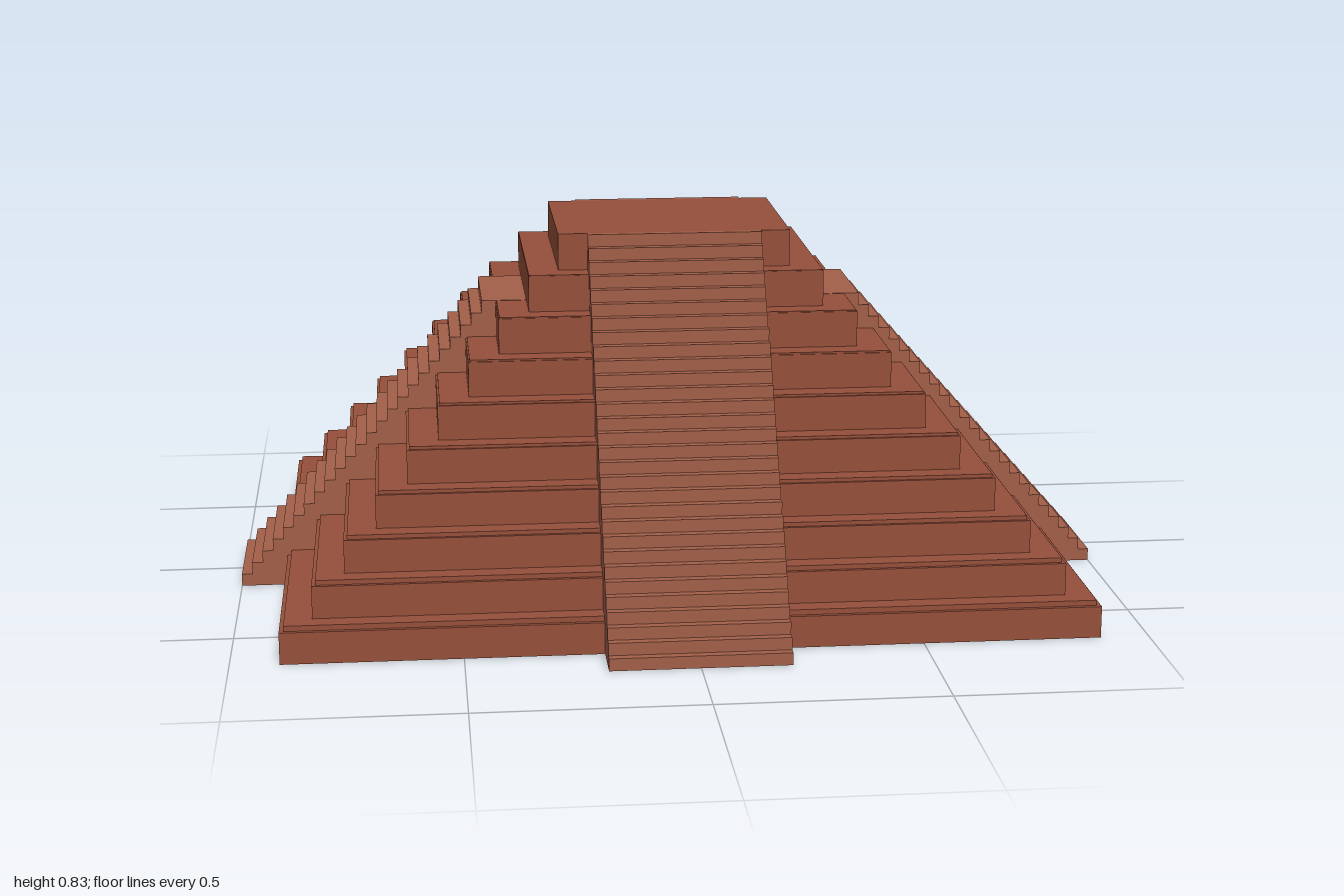
import * as THREE from 'three';

const TIERS = 10;
const TIER_H = 0.083;
const STEP_H = TIER_H / 3;
const stone = new THREE.MeshStandardMaterial({ color: 0x964f3b });
const stairStone = new THREE.MeshStandardMaterial({ color: 0xa35f49 });

// Half extents of each terrace
const halfX = (i) => 0.893 - 0.07 * i;
const halfZ = (i) => 0.677 - 0.0525 * i;

function box(name, hx, hz, y0, y1) {
  const mesh = new THREE.Mesh(new THREE.BoxGeometry(hx * 2, y1 - y0, hz * 2), stone);
  mesh.position.y = (y0 + y1) / 2;
  mesh.name = name;
  return mesh;
}

// Stepped profile running outward along +x, with a sloped back inside the terraces
function stairGeometry(foot, last, steps, landing, base, width, lift) {
  const shape = new THREE.Shape();
  const run = (foot - last) / (steps - 1);
  const top = steps * STEP_H + lift;
  shape.moveTo(base, 0);
  for (let i = 0; i < steps; i++) {
    const r = foot - run * i;
    shape.lineTo(r, i * STEP_H);
    shape.lineTo(r, i === steps - 1 ? top : (i + 1) * STEP_H);
  }
  shape.lineTo(landing, top);
  shape.lineTo(landing, top - TIER_H);
  const geometry = new THREE.ExtrudeGeometry(shape, { depth: width, bevelEnabled: false });
  return geometry.translate(0, 0, -width / 2);
}

function stair(name, geometry, angle) {
  const mesh = new THREE.Mesh(geometry, stairStone);
  mesh.rotation.y = angle;
  mesh.name = name;
  return mesh;
}

export function createModel() {
  const model = new THREE.Group();
  model.name = 'steppedPyramid';

  // Terraces, each with a slightly inset cap that thins toward the summit
  for (let i = 0; i < TIERS; i++) {
    const y = i * TIER_H;
    const lip = 0.012 * (1 - i / (TIERS - 1));
    const hx = halfX(i), hz = halfZ(i);
    model.add(box('terrace' + (i + 1), hx, hz, y, y + TIER_H - lip));
    if (lip > 0) {
      model.add(box('terraceCap' + (i + 1), hx - lip * 0.8, hz - lip * 0.8, y + TIER_H - lip, y + TIER_H));
    }
  }

  // Main stairs climb to the summit
  const main = stairGeometry(0.785, 0.22, 30, halfZ(9), halfZ(0), 0.394, 0);
  model.add(stair('frontStair', main, -Math.PI / 2));
  model.add(stair('backStair', main, Math.PI / 2));

  // Side stairs stop at a landing two terraces lower
  const side = stairGeometry(1, 0.435, 24, halfX(8), halfX(0), 0.268, 0.001);
  model.add(stair('leftStair', side, 0));
  model.add(stair('rightStair', side, Math.PI));

  return model;
}
